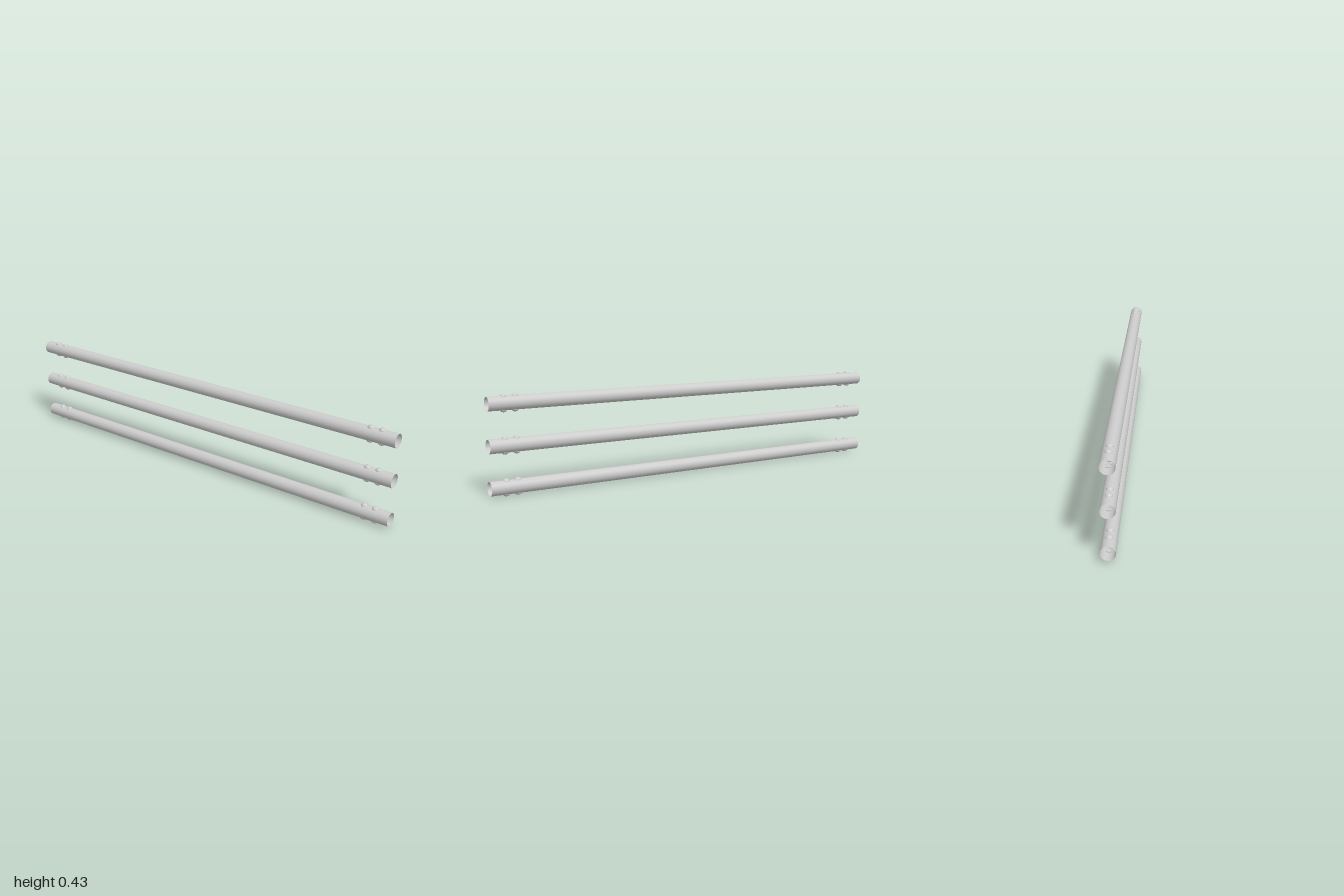
import * as THREE from 'three';

export function createModel() {
  const group = new THREE.Group();
  group.name = 'railSet';
  const material = new THREE.MeshStandardMaterial({ color: 0xcccccc, side: THREE.DoubleSide });

  // Hollow open-ended tube lying along z
  const tubeGeometry = new THREE.CylinderGeometry(0.03, 0.03, 2, 32, 1, true).rotateX(Math.PI / 2);

  // Flattened half-dome bolt head, base at its origin
  const boltGeometry = new THREE.SphereGeometry(0.015, 24, 8, 0, Math.PI * 2, 0, Math.PI / 2)
    .scale(1, 0.75, 1);

  // Three stacked rails, each with paired bolts above and below at both ends
  for (let i = 0; i < 3; i++) {
    const rail = new THREE.Group();
    rail.name = 'rail' + (i + 1);
    rail.position.y = 0.038 + i * 0.175;

    const tube = new THREE.Mesh(tubeGeometry, material);
    tube.name = 'tube';
    rail.add(tube);

    for (const z of [-0.93, -0.88, 0.88, 0.93]) {
      for (const side of [1, -1]) {
        const bolt = new THREE.Mesh(boltGeometry, material);
        bolt.name = side > 0 ? 'upperBoltHead' : 'lowerBoltHead';
        bolt.position.set(0, side * 0.0265, z);
        if (side < 0) bolt.rotation.x = Math.PI;
        rail.add(bolt);
      }
    }
    group.add(rail);
  }
  return group;
}
